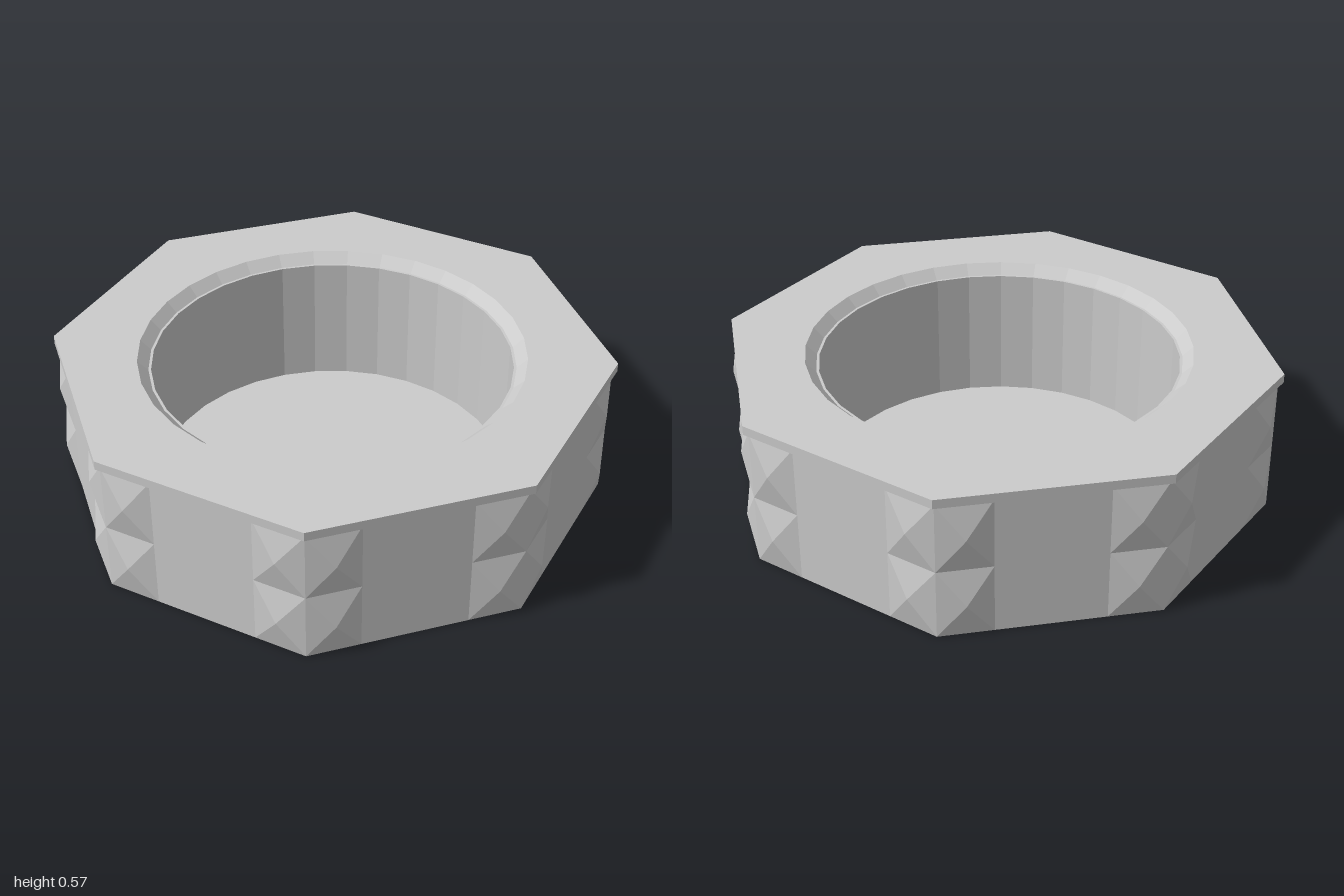
import * as THREE from 'three';

const BODY = 0.97, PLATE = 0.988;          // apothems of the two octagons
const BODY_TOP = 0.54, TOP = 0.575;
const SEGMENTS = 32;

const material = new THREE.MeshStandardMaterial({ color: 0xcccccc, flatShading: true });

function ring(radius, sides, offset) {
  return Array.from({ length: sides }, (_, i) => {
    const a = (i + offset) * 2 * Math.PI / sides;
    return new THREE.Vector2(radius * Math.cos(a), radius * Math.sin(a));
  });
}

const octagon = (apothem) => new THREE.Shape(ring(apothem / Math.cos(Math.PI / 8), 8, 0.5));

function part(name, geometry) {
  const mesh = new THREE.Mesh(geometry, material);
  mesh.name = name;
  return mesh;
}

// One side wall: a plain centre panel, with two stacked pyramid studs at each end
function wallGeometry() {
  const half = BODY * Math.tan(Math.PI / 8), inner = 0.2;
  const positions = [];
  const triangle = (...corners) => corners.forEach((c) => positions.push(...c));
  const rectangle = (x0, x1, y0, y1) => [
    [x0, y0, BODY], [x1, y0, BODY], [x1, y1, BODY], [x0, y1, BODY],
  ];

  const [a, b, c, d] = rectangle(-inner, inner, 0, BODY_TOP);
  triangle(a, b, c);
  triangle(a, c, d);

  for (const [x0, x1] of [[-half, -inner], [inner, half]]) {
    for (let row = 0; row < 2; row++) {
      const y0 = row * BODY_TOP / 2, y1 = y0 + BODY_TOP / 2;
      const base = rectangle(x0, x1, y0, y1);
      const apex = [(x0 + x1) / 2, (y0 + y1) / 2, 1];
      base.forEach((corner, i) => triangle(corner, base[(i + 1) % 4], apex));
    }
  }
  const geometry = new THREE.BufferGeometry();
  geometry.setAttribute('position', new THREE.Float32BufferAttribute(positions, 3));
  geometry.computeVertexNormals();
  return geometry;
}

export function createModel() {
  const model = new THREE.Group();
  model.name = 'octagonalBowl';

  // Eight studded side walls
  const walls = new THREE.Group();
  walls.name = 'studdedWalls';
  const wall = wallGeometry();
  for (let i = 0; i < 8; i++) {
    const side = part('wall', wall);
    side.rotation.y = i * Math.PI / 4;
    walls.add(side);
  }
  model.add(walls);

  // Flat underside
  model.add(part('base', new THREE.ShapeGeometry(octagon(BODY)).rotateX(Math.PI / 2)));

  // Overhanging top plate with a round opening
  const plate = octagon(PLATE);
  plate.holes.push(new THREE.Path(ring(0.735, SEGMENTS, 0).reverse()));
  const plateGeometry = new THREE.ExtrudeGeometry(plate, { depth: TOP - BODY_TOP, bevelEnabled: false });
  plateGeometry.rotateX(-Math.PI / 2).translate(0, BODY_TOP, 0);
  model.add(part('topPlate', plateGeometry));

  // Bevelled lip, inner wall and floor of the round cavity
  const profile = [[0.735, TOP], [0.695, 0.535], [0.685, 0.535], [0.685, 0.005], [0, 0.005]]
    .map(([r, y]) => new THREE.Vector2(r, y));
  model.add(part('cavity', new THREE.LatheGeometry(profile, SEGMENTS)));

  return model;
}
